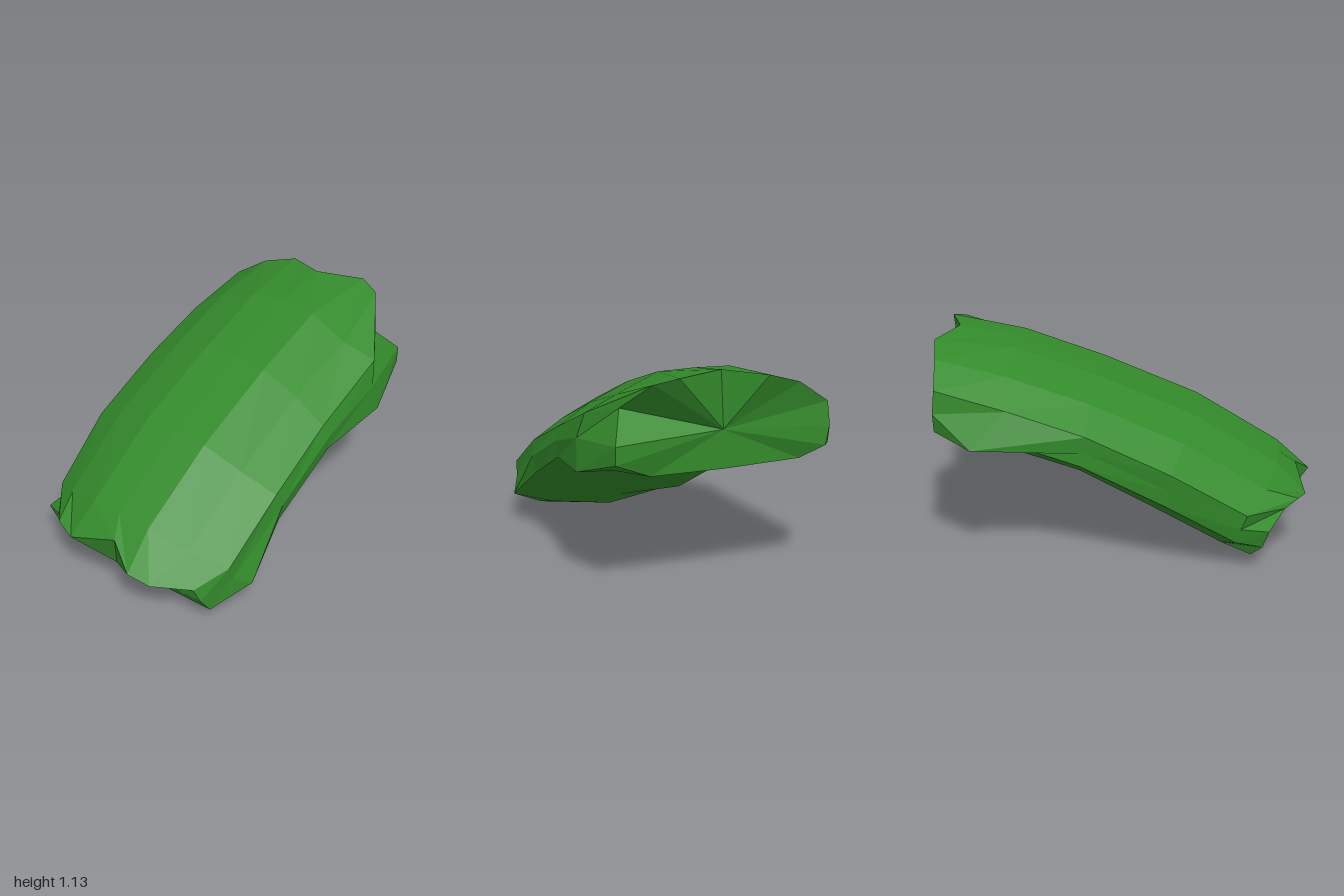
import * as THREE from 'three';

// Cross-section, clockwise from the crown over the +z side: [z, depth from crown (0) to underside (1)]
const profile = [
  [0.02, 0], [0.21, 0.01], [0.42, 0.21], [0.6, 0.44], [0.615, 0.62], [0.61, 0.8], [0.43, 1],
  [0.03, 1.02],
  [-0.4, 1], [-0.57, 0.8], [-0.58, 0.62], [-0.58, 0.44], [-0.4, 0.2], [-0.17, 0.01],
];

// Sections along the body: crown x, y, underside x, y, +z width, -z width
const sections = [
  [-0.82, 0.48, -0.53, 0.1, 0.99, 0.91],
  [-0.37, 0.74, -0.2, 0.29, 1, 1],
  [0.14, 0.94, 0.18, 0.48, 0.99, 1],
  [0.58, 1.08, 0.55, 0.59, 1.02, 1],
];

// Notched rims of the two ends, in profile order
const lowRim = [
  [-0.92, 0.4, 0.07], [-1, 0.31, 0.22], [-0.975, 0.28, 0.34], [-0.84, 0.25, 0.51], [-0.82, 0.18, 0.54],
  [-0.77, 0.1, 0.56], [-0.7, 0.05, 0.45], [-0.67, 0, 0.03], [-0.69, 0.07, -0.44], [-0.75, 0.14, -0.5],
  [-0.78, 0.24, -0.53], [-0.86, 0.31, -0.38], [-0.93, 0.34, -0.31], [-0.97, 0.32, -0.19],
];
const highRim = [
  [0.9, 1.135, 0.02], [0.995, 1.13, 0.27], [0.95, 1.1, 0.38], [0.79, 0.965, 0.49], [0.935, 0.82, 0.56],
  [0.935, 0.73, 0.56], [0.885, 0.645, 0.37], [0.89, 0.645, 0], [0.885, 0.655, -0.41], [0.93, 0.72, -0.53],
  [0.93, 0.82, -0.55], [0.92, 0.94, -0.54], [0.95, 1.055, -0.37], [0.99, 1.11, -0.19],
];

function sectionRing([tx, ty, bx, by, front, back], k) {
  return profile.map(([z, v], i) => {
    // Slight unevenness on the sides and underside
    const n = v > 0.3 ? Math.sin(i * 4.7 + k * 7.3) : 0;
    return [
      tx + (bx - tx) * v + n * 0.025,
      ty + (by - ty) * v + n * 0.012,
      z * (z > 0 ? front : back) * (1 + n * 0.015),
    ];
  });
}

function createBodyGeometry() {
  const rings = [lowRim, ...sections.map(sectionRing), highRim];
  // Bulges near the ends
  rings[1][5] = [-0.54, 0.17, 0.655];
  rings[4][3] = [0.61, 0.91, 0.6];
  rings[4][5] = [0.61, 0.62, 0.645];
  rings[4][10] = [0.72, 0.67, -0.66];

  const n = profile.length;
  const pos = [];
  const tri = (...corners) => corners.forEach((c) => pos.push(...c));

  // Skin between neighbouring sections
  for (let r = 0; r < rings.length - 1; r++) {
    const a = rings[r], b = rings[r + 1];
    for (let i = 0; i < n; i++) {
      const j = (i + 1) % n;
      tri(a[i], a[j], b[i]);
      tri(a[j], b[j], b[i]);
    }
  }

  // Hollowed end faces
  for (let i = 0; i < n; i++) {
    const j = (i + 1) % n;
    tri([-0.87, 0.2, 0.03], lowRim[j], lowRim[i]);
    tri([0.89, 0.84, 0], highRim[i], highRim[j]);
  }

  const geometry = new THREE.BufferGeometry();
  geometry.setAttribute('position', new THREE.Float32BufferAttribute(pos, 3));
  geometry.computeVertexNormals();
  return geometry;
}

export function createModel() {
  const group = new THREE.Group();
  group.name = 'curvedSlab';
  const material = new THREE.MeshStandardMaterial({ color: 0x338a2b, flatShading: true });
  const body = new THREE.Mesh(createBodyGeometry(), material);
  body.name = 'body';
  group.add(body);
  return group;
}
